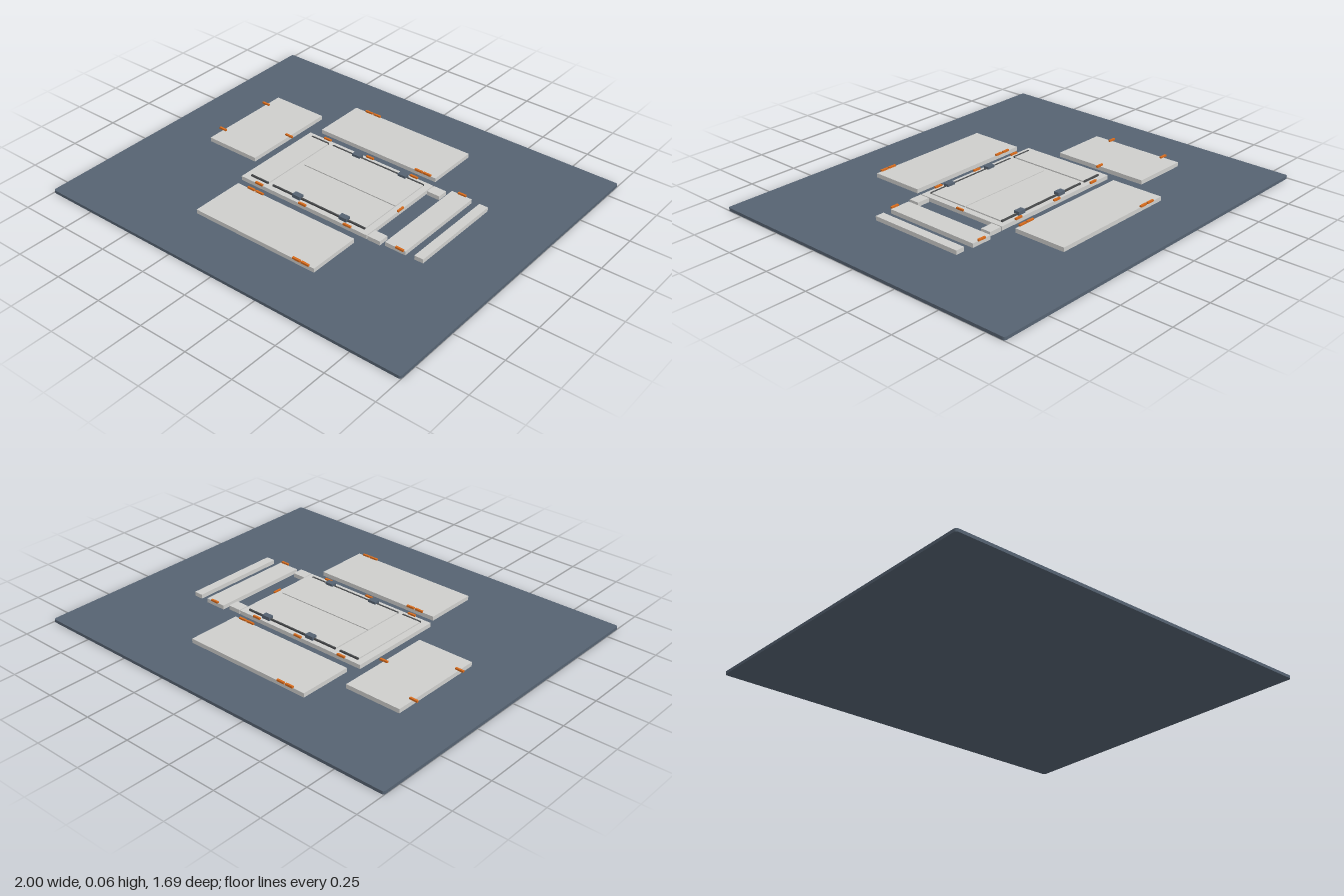
import * as THREE from 'three';

export function createModel() {
  const model = new THREE.Group();
  const paint = (name, color) => {
    const m = new THREE.MeshStandardMaterial({ color });
    m.name = name;
    return m;
  };
  const slate = paint('slate blue', 0x566372);
  const card = paint('pale grey', 0xcfcfcd);
  const orange = paint('orange', 0xd96c1c);
  const dark = paint('dark grey', 0x4a4c4e);

  // Box given by its limits on each axis
  const block = (name, material, [x0, x1], [y0, y1], [z0, z1]) => {
    const mesh = new THREE.Mesh(new THREE.BoxGeometry(x1 - x0, y1 - y0, z1 - z0), material);
    mesh.position.set((x0 + x1) / 2, (y0 + y1) / 2, (z0 + z1) / 2);
    mesh.name = name;
    model.add(mesh);
  };

  // Base board with softened corners
  const w = 1, d = 0.845, r = 0.012;
  const outline = new THREE.Shape();
  outline.absarc(w - r, d - r, r, 0, Math.PI / 2);
  outline.absarc(-w + r, d - r, r, Math.PI / 2, Math.PI);
  outline.absarc(-w + r, -d + r, r, Math.PI, Math.PI * 1.5);
  outline.absarc(w - r, -d + r, r, Math.PI * 1.5, Math.PI * 2);
  const board = new THREE.Mesh(
    new THREE.ExtrudeGeometry(outline, { depth: 0.015, bevelEnabled: false, curveSegments: 4 }), slate);
  board.rotation.x = -Math.PI / 2;
  board.name = 'baseBoard';
  model.add(board);

  // Loose panels hovering just above the board
  const layer = [0.026, 0.047];
  block('centrePanel', card, [-0.37, 0.367], layer, [-0.25, 0.247]);
  block('backPanel', card, [-0.343, 0.341], layer, [-0.578, -0.305]);
  block('frontPanel', card, [-0.343, 0.341], layer, [0.3, 0.573]);
  block('rightPanel', card, [-0.717, -0.427], layer, [-0.406, 0.093]);
  block('leftPanel', card, [0.459, 0.568], layer, [-0.27, 0.234]);
  block('leftStrip', card, [0.614, 0.66], layer, [-0.263, 0.232]);
  block('backTab', card, [0.372, 0.44], layer, [-0.25, -0.196]);
  block('frontTab', card, [0.372, 0.44], layer, [0.193, 0.247]);

  // Raised fields on the centre panel, separated by narrow grooves
  const raised = [0.047, 0.053];
  block('endField', card, [-0.335, -0.23], raised, [-0.216, 0.212]);
  block('backField', card, [-0.202, 0.335], raised, [-0.216, -0.005]);
  block('frontField', card, [-0.202, 0.335], raised, [0.001, 0.212]);

  // Rails and clips along both long sides of the fields
  for (const z of [-0.22, 0.216]) {
    for (const span of [[-0.335, -0.23], [-0.202, 0.335]])
      block('rail', dark, span, [0.047, 0.055], [z - 0.004, z + 0.004]);
    for (const x of [-0.053, 0.217])
      block('clip', slate, [x - 0.022, x + 0.022], [0.047, 0.065], [z - 0.014, z + 0.014]);
  }

  // Orange edge markers, at x and z
  const markers = [
    [-0.72, -0.315], [-0.72, 0], [-0.427, -0.156],
    [0.515, -0.27], [0.54, 0.238],
  ];
  for (const z of [-0.578, 0.3]) markers.push([-0.26, z], [-0.21, z]);
  for (const z of [-0.305, 0.573]) markers.push([0.245, z], [0.293, z]);
  for (const z of [-0.25, 0.247]) markers.push([-0.26, z], [0, z], [0.258, z]);
  for (const [x, z] of markers)
    block('edgeMarker', orange, [x - 0.021, x + 0.021], [0.046, 0.055], [z - 0.005, z + 0.005]);
  block('endMarker', orange, [0.363, 0.371], [0.046, 0.055], [-0.021, 0.021]);

  return model;
}
